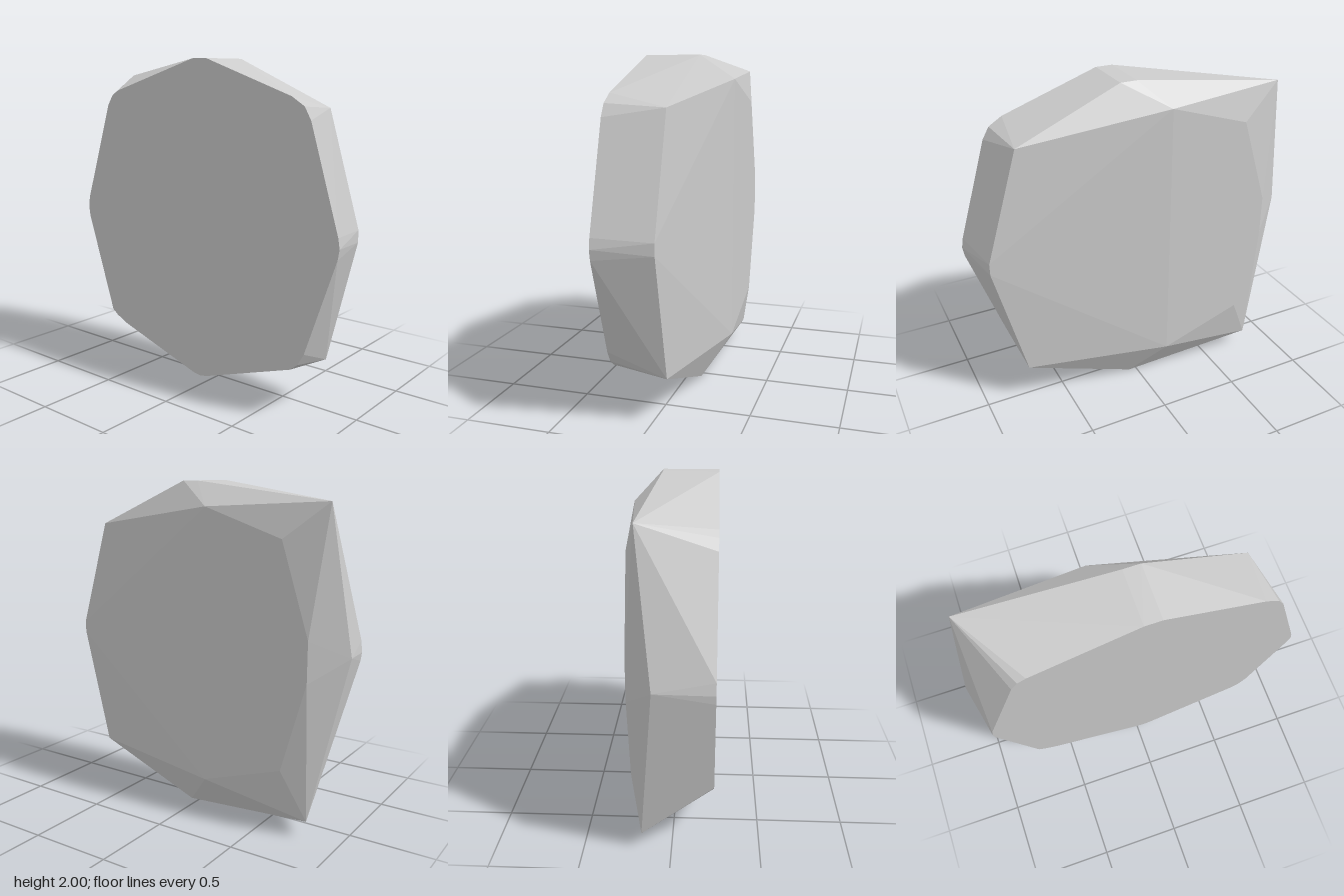
import * as THREE from 'three';
import { ConvexGeometry } from 'three/addons/geometries/ConvexGeometry.js';

// Lifts a flat [x, y] outline to a given depth
const atDepth = (outline, z) => outline.map(([x, y]) => new THREE.Vector3(x, y, z));

export function createModel() {
  const model = new THREE.Group();

  // Flat front face: an octagon with softened corners
  const frontFace = [
    [0, 2], [0.1, 2], [0.68, 1.8], [0.76, 1.75], [0.8, 1.68],
    [0.98, 1.09], [0.99, 1.03], [0.98, 0.97], [0.79, 0.41], [0.75, 0.34], [0.7, 0.3],
    [0.1, 0.1], [0.05, 0.09], [0, 0.095], [-0.6, 0.29], [-0.68, 0.33], [-0.72, 0.36],
    [-0.92, 0.98], [-0.927, 1.03], [-0.92, 1.1], [-0.71, 1.72], [-0.67, 1.78], [-0.62, 1.81],
  ];

  // Widest rim, behind the middle
  const rim = [
    [0, 2], [0.1, 2], [0.72, 1.73], [0.92, 1.07], [0.92, 1],
    [0.74, 0.27], [0.05, 0], [-1, 1.07],
  ];

  // Sharp corners that lean toward the back
  const corners = [[-0.89, 1.9], [-0.8, 0.1]];

  // Flat area of the back, ending in a vertical ridge
  const backFace = [
    [-0.15, 1.86], [-0.64, 1.7], [-0.81, 1.17], [-0.81, 0.93], [-0.66, 0.4], [-0.15, 0.23],
  ];

  const points = [
    ...atDepth(frontFace, 0.237),
    ...atDepth(rim, -0.088),
    ...atDepth(corners, -0.17),
    ...atDepth(backFace, -0.237),
  ];

  // Faceted stone slab wrapped around all the outlines
  const stone = new THREE.Mesh(
    new ConvexGeometry(points),
    new THREE.MeshStandardMaterial({ color: 0xcccccc, flatShading: true })
  );
  stone.name = 'stoneSlab';
  model.add(stone);
  return model;
}
